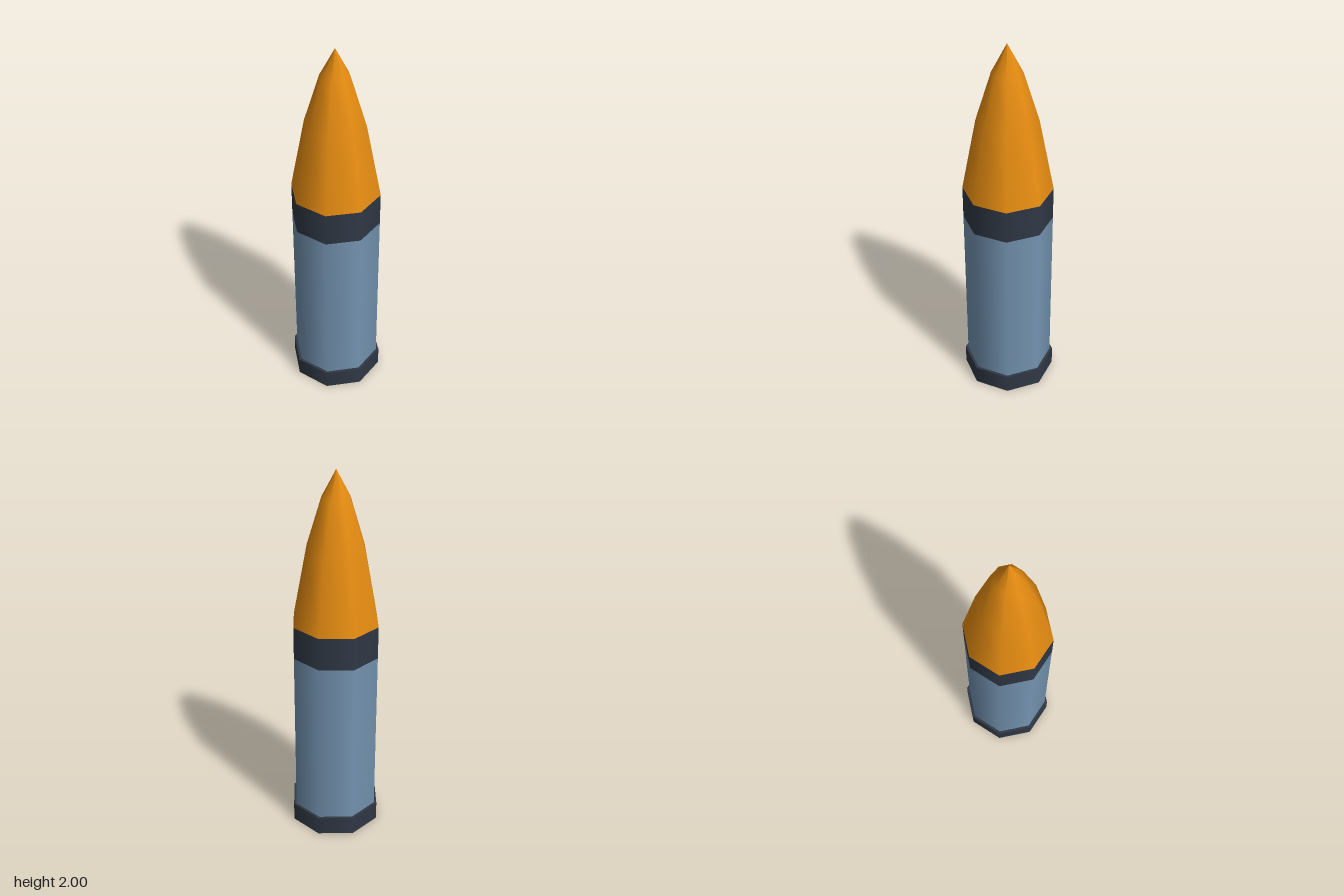
import * as THREE from 'three';

const SIDES = 8;
const TURN = Math.PI / SIDES; // flat sides face the axes
const R = 0.235; // corner radius of the case

function material(name, color) {
  const m = new THREE.MeshStandardMaterial({ color });
  m.name = name;
  return m;
}

export function createModel() {
  const model = new THREE.Group();
  model.name = 'cartridge';
  const steel = material('steelBlue', 0x7393b0);
  const dark = material('darkSlate', 0x303845);
  const orange = material('orange', 0xe68c11);

  // upright eight-sided section between two heights
  function section(name, radius, bottom, top, mat) {
    const geo = new THREE.CylinderGeometry(radius, radius, top - bottom, SIDES, 1, false, TURN);
    geo.translate(0, (top + bottom) / 2, 0);
    const mesh = new THREE.Mesh(geo, mat);
    mesh.name = name;
    model.add(mesh);
  }

  section('baseRim', 0.25, 0, 0.103, dark);
  section('caseBody', R, 0.103, 1.022, steel);
  section('collar', R, 1.022, 1.2, dark);

  // pointed nose
  const profile = [[R, 1.2], [0.158, 1.595], [0.077, 1.855], [0, 2]]
    .map(([r, y]) => new THREE.Vector2(r, y));
  const nose = new THREE.Mesh(new THREE.LatheGeometry(profile, SIDES, TURN), orange);
  nose.name = 'noseTip';
  model.add(nose);

  // very slight lean to the right
  model.rotation.z = 0.005;
  model.position.y = 0.001;
  return model;
}
